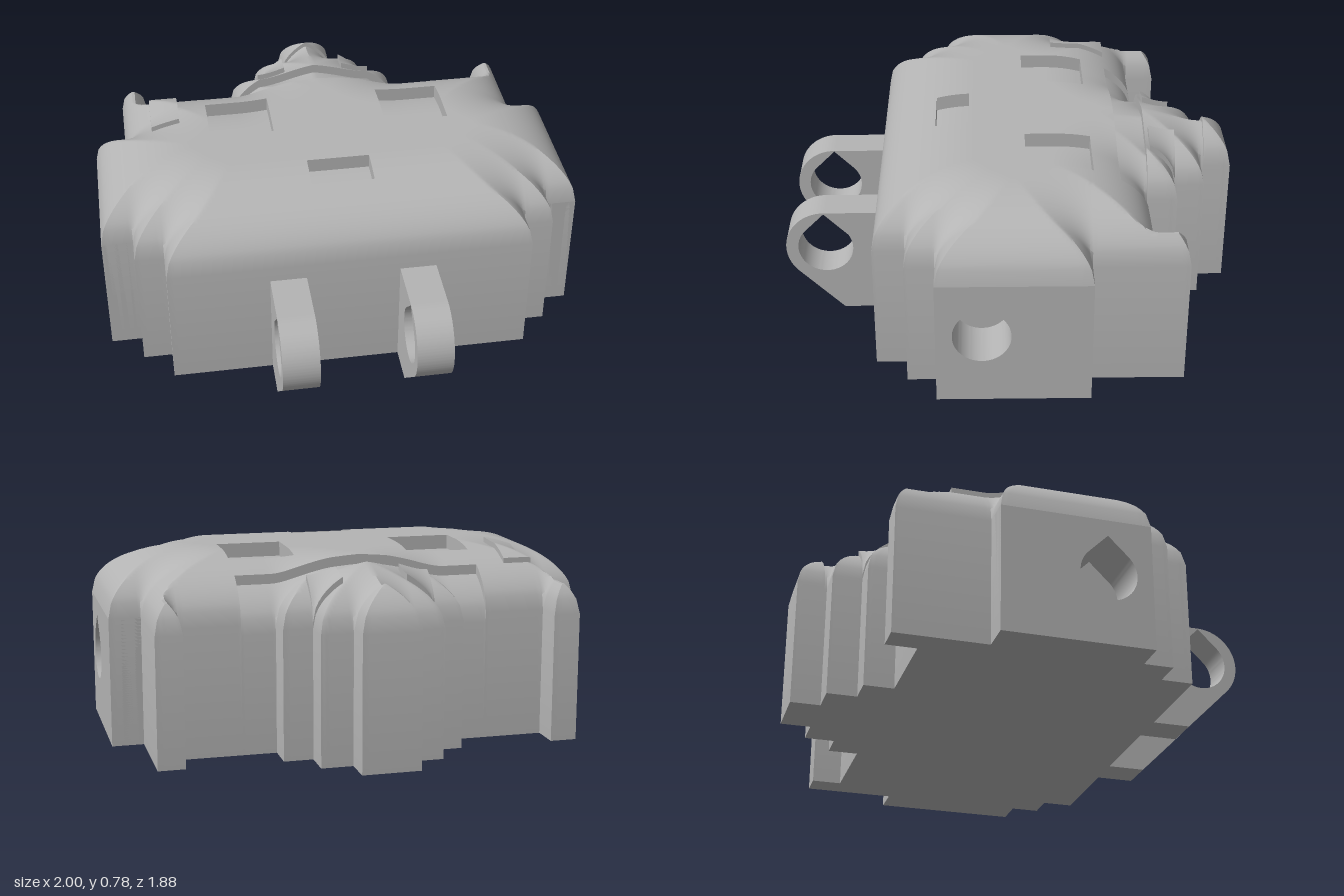
import * as THREE from 'three';
import { toCreasedNormals } from 'three/addons/utils/BufferGeometryUtils.js';

const WALL = 0.53, RISE = 0.245, ROUND = 0.4, STEP = 0.0135;

// Stepped plan of the body: left half as [x, z], then mirrored
const half = [
  [0.75, 0.55], [0.75, 0.42], [0.87, 0.42], [0.87, 0.3], [1, 0.3], [1, -0.31], [0.87, -0.31],
  [0.87, -0.69], [0.76, -0.69], [0.76, -0.565], [0.37, -0.565], [0.37, -0.69], [0.25, -0.69],
  [0.25, -0.815], [0.12, -0.815], [0.12, -0.94],
];
const outline = [...half, ...half.map(([x, z]) => [-x, z]).reverse()];

// Raised and sunken areas of the top: x0, x1, z0, z1, offset
const areas = [
  [0.24, 0.51, -0.33, -0.06, -0.06], [-0.51, -0.24, -0.33, -0.06, -0.06], // square pockets
  [-0.13, 0.13, 0.17, 0.31, -0.06],                                       // front slot
  [-0.51, 0.51, -0.565, -0.44, -0.04],                                    // rear band
  [0.13, 0.25, -0.69, -0.58, 0.025], [-0.25, -0.13, -0.69, -0.58, 0.025], // small rear blocks
  [-0.12, 0.12, -0.94, -0.825, 0.02],                                     // tail
  [-0.75, -0.63, -0.44, -0.2, 0.022],                                     // side plate
];

function inside(x, z) {
  let hit = false;
  outline.forEach(([ax, az], i) => {
    const [bx, bz] = outline[(i + 1) % outline.length];
    if ((az > z) !== (bz > z) && x < ax + ((z - az) / (bz - az)) * (bx - ax)) hit = !hit;
  });
  return hit;
}

// Height of the rounded top, from the distance to the outline
function domeHeight(x, z) {
  let d = Infinity;
  outline.forEach(([ax, az], i) => {
    const [bx, bz] = outline[(i + 1) % outline.length];
    const cx = Math.min(Math.max(x, Math.min(ax, bx)), Math.max(ax, bx));
    const cz = Math.min(Math.max(z, Math.min(az, bz)), Math.max(az, bz));
    d = Math.min(d, Math.hypot(x - cx, z - cz));
  });
  const t = 1 - Math.min(d / ROUND, 1);
  return WALL + RISE * Math.sqrt(1 - t * t);
}

// Grid lines that hit every given edge
function gridLines(edges) {
  const sorted = [...new Set(edges)].sort((a, b) => a - b);
  const lines = [sorted[0]];
  for (let i = 1; i < sorted.length; i++) {
    const a = sorted[i - 1], b = sorted[i], n = Math.ceil((b - a) / STEP);
    for (let k = 1; k <= n; k++) lines.push(k === n ? b : a + ((b - a) * k) / n);
  }
  return lines;
}

function bodyGeometry() {
  const xs = gridLines([...outline.map((p) => p[0]), ...areas.flatMap((a) => [a[0], a[1]])]);
  const zs = gridLines([...outline.map((p) => p[1]), ...areas.flatMap((a) => [a[2], a[3]])]);
  const dome = xs.map((x) => zs.map((z) => domeHeight(x, z)));
  // Offset of each cell, null outside the outline
  const cells = xs.slice(1).map((x1, i) => zs.slice(1).map((z1, j) => {
    const x = (x1 + xs[i]) / 2, z = (z1 + zs[j]) / 2;
    if (!inside(x, z)) return null;
    const area = areas.find((a) => x > a[0] && x < a[1] && z > a[2] && z < a[3]);
    return area ? area[4] : 0;
  }));
  const pos = [];
  const tri = (a, b, c) => pos.push(...a, ...b, ...c);
  cells.forEach((column, i) => column.forEach((off, j) => {
    if (off === null) return;
    const ids = [[i, j], [i, j + 1], [i + 1, j + 1], [i + 1, j]];
    const at = ([a, b], o) => [xs[a], o === null ? 0 : dome[a][b] + o, zs[b]];
    const [a, b, c, d] = ids.map((id) => at(id, off));
    // split along the ridge
    if (a[1] + c[1] >= b[1] + d[1]) { tri(a, b, c); tri(a, c, d); }
    else { tri(a, b, d); tri(b, c, d); }
    // walls down to lower neighbours or to the ground
    [[-1, 0], [0, 1], [1, 0], [0, -1]].forEach(([di, dj], k) => {
      const next = cells[i + di]?.[j + dj] ?? null;
      if (next !== null && next >= off) return;
      const p = ids[k], q = ids[(k + 1) % 4];
      if (next === null && p[0] === q[0] && Math.abs(xs[p[0]]) === 1) return; // socket blocks close these
      tri(at(p, off), at(p, next), at(q, next));
      tri(at(p, off), at(q, next), at(q, off));
    });
  }));
  const geo = new THREE.BufferGeometry();
  geo.setAttribute('position', new THREE.Float32BufferAttribute(pos, 3));
  return toCreasedNormals(geo, 0.55);
}

// Round hole with a pointed top
function teardrop(path, u, v, r) {
  path.moveTo(u, v + r * Math.SQRT2);
  path.lineTo(u - r * Math.SQRT1_2, v + r * Math.SQRT1_2);
  path.absarc(u, v, r, Math.PI * 0.75, Math.PI * 2.25, false);
  path.closePath();
  return path;
}

function extrude(shape, depth) {
  const geo = new THREE.ExtrudeGeometry(shape, { depth, bevelEnabled: false, curveSegments: 32 });
  return toCreasedNormals(geo, 0.5);
}

export function createModel() {
  const group = new THREE.Group();
  const grey = new THREE.MeshStandardMaterial({ color: 0xb4b4b4 });
  grey.name = 'grey';
  const add = (name, geo) => {
    const mesh = new THREE.Mesh(geo, grey);
    mesh.name = name;
    group.add(mesh);
    return mesh;
  };

  add('body', bodyGeometry());

  // Flat underside
  const plan = new THREE.Shape(outline.map(([x, z]) => new THREE.Vector2(x, z)));
  add('underside', new THREE.ShapeGeometry(plan).rotateX(Math.PI / 2));

  // Side walls with blind teardrop sockets
  const depth = 0.22;
  for (const side of [1, -1]) {
    const u = (z) => -side * z;
    const lo = Math.min(u(0.3), u(-0.31)), hi = Math.max(u(0.3), u(-0.31));
    const wall = new THREE.Shape();
    wall.moveTo(lo, 0).lineTo(hi, 0).lineTo(hi, WALL).lineTo(lo, WALL).closePath();
    wall.holes.push(teardrop(new THREE.Path(), u(0.12), 0.3, 0.115));
    const name = side > 0 ? 'left' : 'right';
    const turn = (side * Math.PI) / 2;
    add(name + 'SocketWall', extrude(wall, depth).translate(0, 0, 1 - depth).rotateY(turn));
    const floor = teardrop(new THREE.Shape(), u(0.12), 0.3, 0.115);
    add(name + 'SocketFloor', new THREE.ShapeGeometry(floor, 32).translate(0, 0, 1 - depth).rotateY(turn));
  }

  // Two hinge lugs on the front
  const lug = new THREE.Shape();
  lug.moveTo(0.54, 0).lineTo(0.709, 0);
  lug.absarc(0.775, 0.3, 0.166, -Math.PI / 4, Math.PI / 2, false);
  lug.lineTo(0.54, 0.466).closePath();
  lug.holes.push(teardrop(new THREE.Path(), 0.775, 0.3, 0.115));
  for (const [name, x] of [['rightLug', -0.26], ['leftLug', 0.275]]) {
    add(name, extrude(lug, 0.15).translate(0, 0, -0.075).rotateY(-Math.PI / 2)).position.x = x;
  }
  return group;
}
